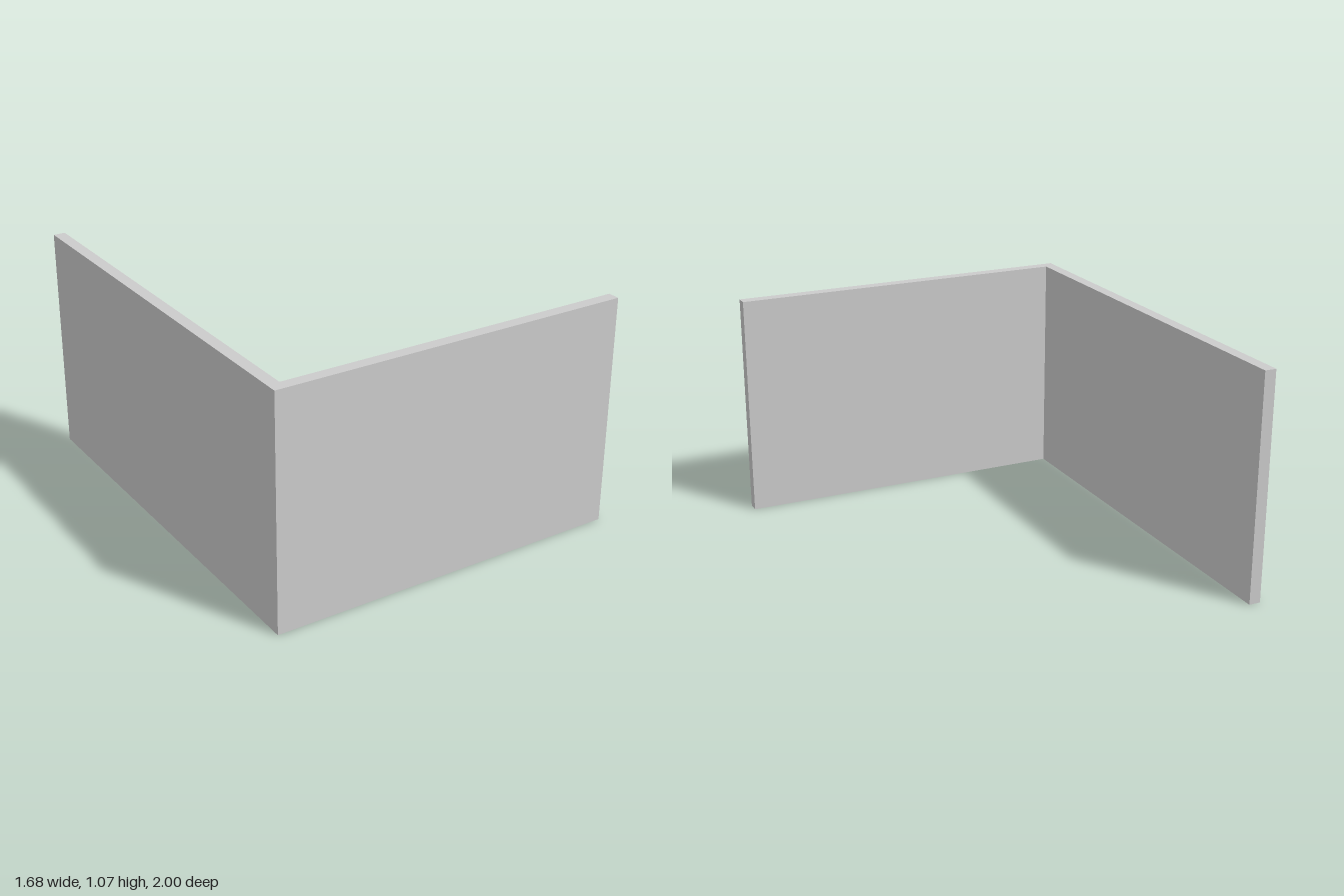
import * as THREE from 'three';

const HALF_WIDTH = 0.84, HALF_DEPTH = 1, HEIGHT = 1.07, THICKNESS = 0.055;

export function createModel() {
  const group = new THREE.Group();
  group.name = 'cornerWall';

  // L-shaped floor plan; the plan's y axis becomes -z once laid flat
  const innerX = -HALF_WIDTH + THICKNESS, innerY = -HALF_DEPTH + THICKNESS;
  const plan = new THREE.Shape([
    [-HALF_WIDTH, -HALF_DEPTH], [HALF_WIDTH, -HALF_DEPTH], [HALF_WIDTH, innerY],
    [innerX, innerY], [innerX, HALF_DEPTH], [-HALF_WIDTH, HALF_DEPTH],
  ].map(([x, y]) => new THREE.Vector2(x, y)));

  // Front and side walls, raised as one solid joined at the corner
  const geometry = new THREE.ExtrudeGeometry(plan, { depth: HEIGHT, bevelEnabled: false });
  geometry.rotateX(-Math.PI / 2);
  const walls = new THREE.Mesh(geometry, new THREE.MeshStandardMaterial({ color: 0xcccccc }));
  walls.name = 'frontAndSideWalls';
  group.add(walls);

  return group;
}
